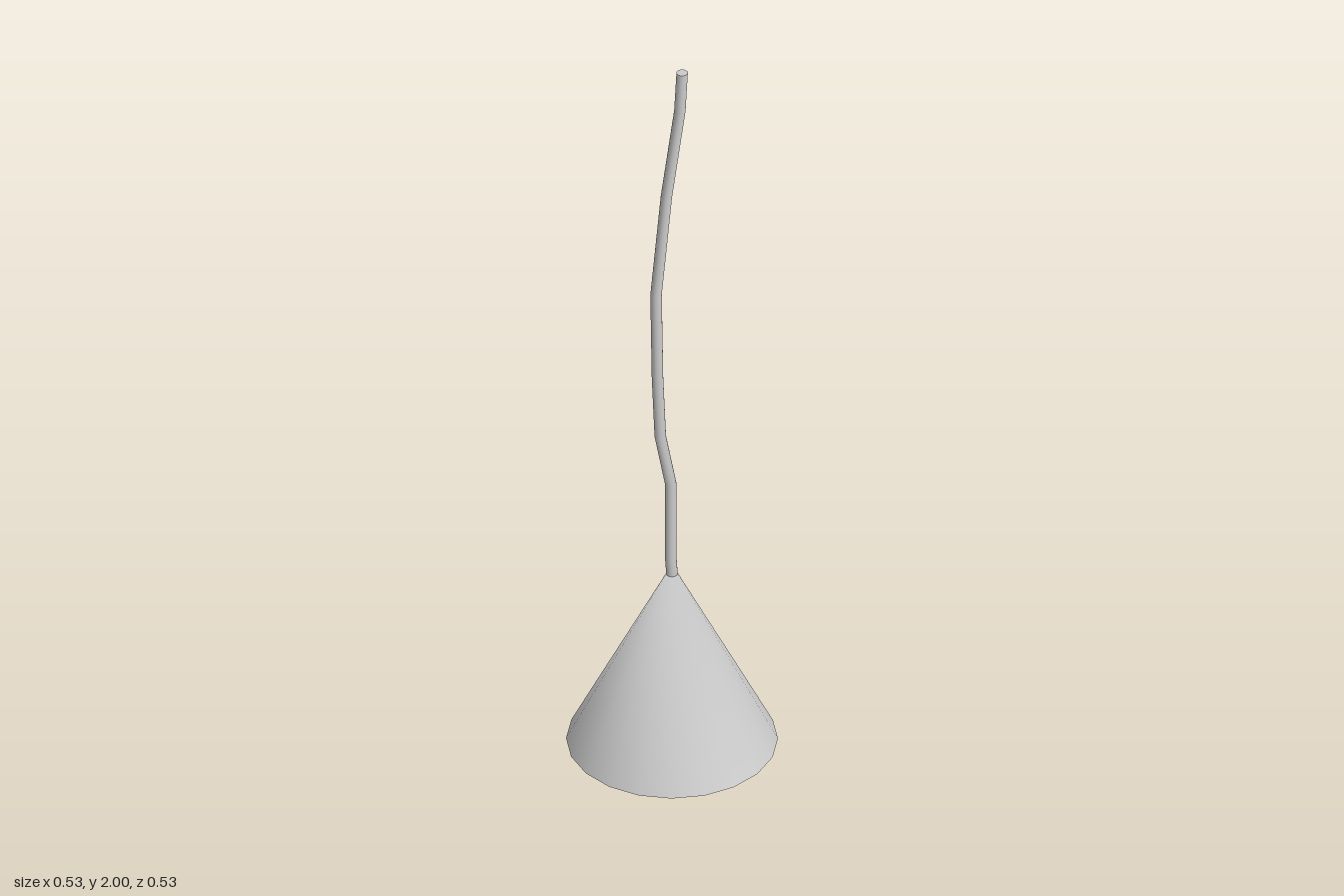
import * as THREE from 'three';

const SIDES = 20;

// Open cone wall whose shading blends to straight up at the tip
function coneWall(radius, height, material) {
  const geo = new THREE.ConeGeometry(radius, height, SIDES, 1, true);
  geo.translate(0, height / 2, 0);
  const pos = geo.attributes.position, nor = geo.attributes.normal;
  for (let i = 0; i < pos.count; i++) {
    if (pos.getY(i) > height - 1e-4) nor.setXYZ(i, 0, 1, 0);
  }
  return new THREE.Mesh(geo, material);
}

export function createModel() {
  const group = new THREE.Group();
  const grey = new THREE.MeshStandardMaterial({ color: 0xcccccc });
  const greyInside = new THREE.MeshStandardMaterial({ color: 0xcccccc, side: THREE.BackSide });

  // Hollow conical shade: outer wall, inner wall and flat rim
  const shade = new THREE.Group();
  shade.name = 'shade';
  const outer = coneWall(0.265, 0.53, grey);
  outer.name = 'shadeOuterWall';
  const inner = coneWall(0.226, 0.45, greyInside);
  inner.name = 'shadeInnerWall';
  const rim = new THREE.Mesh(new THREE.RingGeometry(0.226, 0.265, SIDES), grey);
  rim.rotation.x = Math.PI / 2;
  rim.name = 'shadeRim';
  shade.add(outer, inner, rim);
  group.add(shade);

  // Bulb hanging inside the shade
  const bulb = new THREE.Mesh(new THREE.SphereGeometry(0.1, 24, 16), grey);
  bulb.position.y = 0.2;
  bulb.name = 'bulb';
  group.add(bulb);

  // Kinked cord: each row of a cylinder is moved to a point of the path
  const path = [
    [0, 0.5, 0], [-0.006, 0.56, 0], [-0.006, 0.78, 0], [0.005, 0.9, -0.04],
    [0, 1.08, -0.045], [-0.002, 1.33, -0.048], [0.035, 1.61, -0.043],
    [0.021, 1.9, 0.009], [0.043, 2, 0],
  ];
  const rows = path.length - 1;
  const cordGeo = new THREE.CylinderGeometry(0.0145, 0.0145, rows, 16, rows);
  const pos = cordGeo.attributes.position;
  for (let i = 0; i < pos.count; i++) {
    const [x, y, z] = path[Math.round(pos.getY(i) + rows / 2)];
    pos.setXYZ(i, pos.getX(i) + x, y, pos.getZ(i) + z);
  }
  const cord = new THREE.Mesh(cordGeo, grey);
  cord.name = 'cord';
  group.add(cord);

  return group;
}
